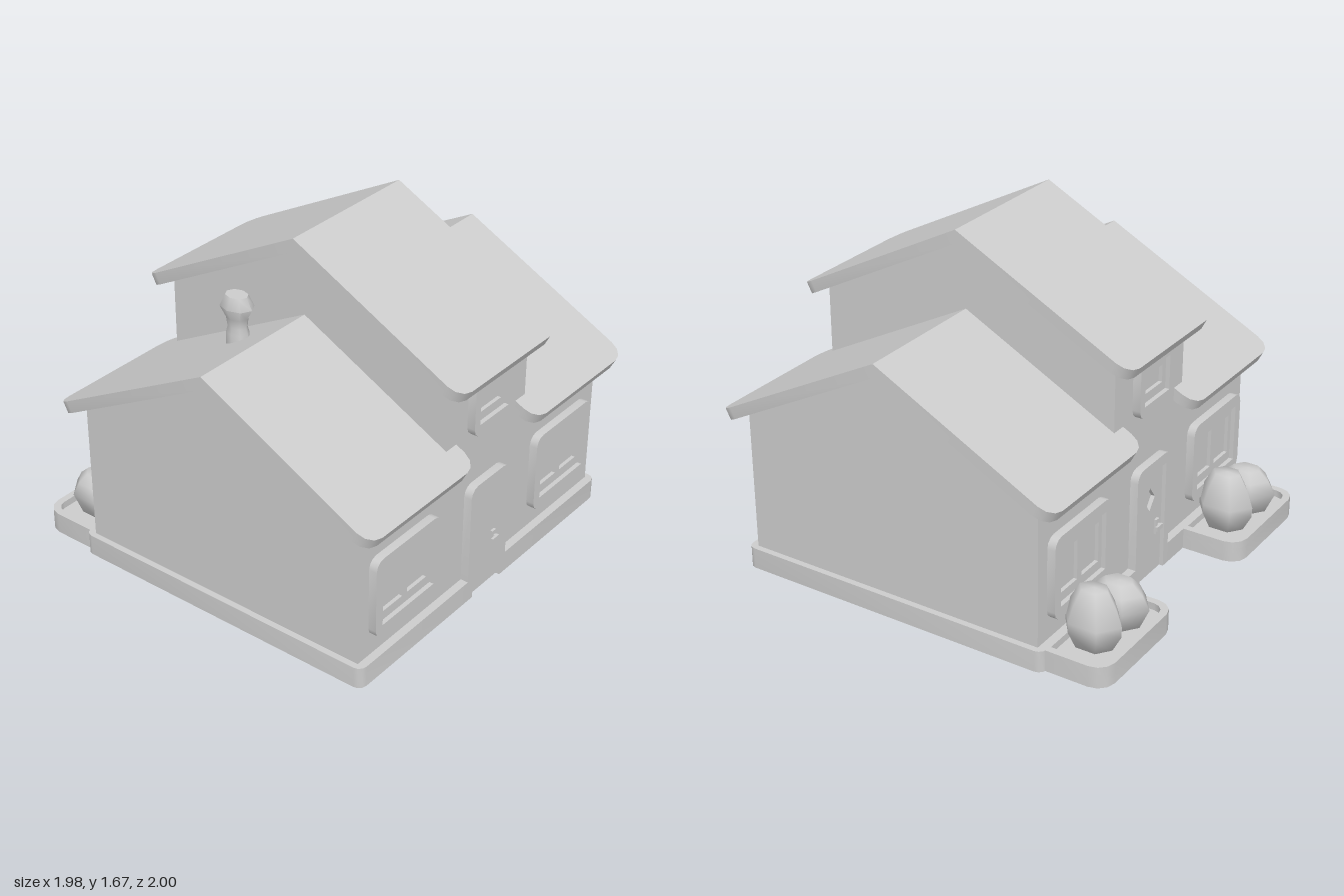
import * as THREE from 'three';
import { toCreasedNormals } from 'three/addons/utils/BufferGeometryUtils.js';

const grey = new THREE.MeshStandardMaterial({ color: 0xcccccc });
const MID = 0.11;      // z of the ridge; front and back are mirrored about it
const WALL = 0.775;    // half depth of the walls
const TRIM = 0.815;    // half depth to the face of base and frames
const SLOPE = 0.5225;  // rise over run of the roofs

function add(parent, name, geometry, x = 0, y = 0, z = 0) {
  const mesh = new THREE.Mesh(geometry, grey);
  mesh.name = name;
  mesh.position.set(x, y, z);
  parent.add(mesh);
  return mesh;
}

// Rectangle outline, anticlockwise from bottom left, with one radius per corner
function rect(x0, y0, x1, y1, radii = [0, 0, 0, 0]) {
  const corners = [[x0, y0, 1, 1], [x1, y0, -1, 1], [x1, y1, -1, -1], [x0, y1, 1, -1]];
  const points = [];
  corners.forEach(([x, y, sx, sy], i) => {
    const r = radii[i];
    if (!r) return points.push(new THREE.Vector2(x, y));
    for (let k = 0; k <= 3; k++) {
      const a = Math.PI * (1 + i / 2 + k / 6);
      points.push(new THREE.Vector2(x + sx * r + r * Math.cos(a), y + sy * r + r * Math.sin(a)));
    }
  });
  return points;
}

function slab(outline, depth, holes = []) {
  const shape = new THREE.Shape(outline);
  holes.forEach((h) => shape.holes.push(new THREE.Path(h)));
  const g = new THREE.ExtrudeGeometry(shape, { depth, bevelEnabled: false });
  return toCreasedNormals(g, 0.7);
}

// Slab lying flat: outline y becomes -z, depth becomes height
const flat = (...args) => slab(...args).rotateX(-Math.PI / 2);

// Walls with gable ends, extruded along x
function gableWalls(parent, name, halfWidth, apex) {
  const eave = apex - SLOPE * WALL;
  const outline = [[-WALL, 0], [WALL, 0], [WALL, eave], [0, apex], [-WALL, eave]]
    .map(([a, b]) => new THREE.Vector2(a, b));
  const g = slab(outline, halfWidth * 2).translate(0, 0, -halfWidth).rotateY(Math.PI / 2);
  add(parent, name, g);
}

// One sloping roof plate from the ridge down to a rounded eave
function roofPlate(parent, name, x, halfWidth, ridge) {
  const r = 0.08;
  const g = slab(rect(-halfWidth, 0, halfWidth, 1.004, [0, 0, r, r]), 0.0575);
  add(parent, name, g, x, ridge, 0).rotation.x = Math.PI / 2 + Math.atan(SLOPE);
}

// Rounded frame with a recessed sash and panes
function windowUnit(parent, name, x, y, frame, opening, panes) {
  const group = new THREE.Group();
  group.name = name;
  group.position.set(x, y, WALL - 0.01);
  parent.add(group);
  const box = ([w, h], r) => rect(-w, -h, w, h, [r, r, r, r]);
  add(group, 'windowFrame', slab(box(frame, 0.05), TRIM - WALL + 0.01, [box(opening, 0)]));
  const holes = panes.map(([x0, x1, h]) => rect(x0, -h, x1, h));
  add(group, 'windowSash', slab(box(opening, 0), 0.028, holes));
}

function doorUnit(parent, withDiamond) {
  const frame = rect(-0.15, 0, 0.15, 0.605, [0, 0, 0.05, 0.05]);
  // bottom left point first, so the opening is traced back from the right jamb
  const outline = [
    ...frame,
  ];
  const inner = [[-0.11, 0.55], [0.11, 0.55], [0.11, 0]].reverse();
  const start = outline.shift();
  const right = outline.shift();
  const path = [start, new THREE.Vector2(-0.11, 0),
    ...inner.reverse().map(([a, b]) => new THREE.Vector2(a, b)), right, ...outline];
  add(parent, 'doorFrame', slab(path, TRIM - WALL + 0.01), 0, 0, WALL - 0.01);

  const diamond = [[0, -0.06], [0.045, 0], [0, 0.06], [-0.045, 0]]
    .map(([a, b]) => new THREE.Vector2(a, b + 0.4));
  const holes = withDiamond ? [diamond] : [];
  add(parent, 'door', slab(rect(-0.11, 0, 0.11, 0.55), 0.03, holes), 0, 0, WALL - 0.01);
  add(parent, 'handlePlate', new THREE.BoxGeometry(0.027, 0.075, 0.014), 0.06, 0.237, 0.801);
  add(parent, 'handleStem', new THREE.BoxGeometry(0.018, 0.018, 0.03), 0.06, 0.243, 0.81);
  add(parent, 'handleLever', new THREE.BoxGeometry(0.05, 0.022, 0.012), 0.045, 0.243, 0.823);
}

function lathe(profile, sides) {
  return new THREE.LatheGeometry(profile.map(([r, y]) => new THREE.Vector2(r, y)), sides);
}

// Everything repeated on the front and, turned round, on the back
function facade(name, isBack) {
  const side = new THREE.Group();
  side.name = name;
  for (const s of [-1, 1]) {
    windowUnit(side, 'lowerWindow', s * 0.61, 0.405, [0.233, 0.203], [0.185, 0.145],
      [[-0.158, -0.018, 0.1], [0.018, 0.158, 0.1]]);
    roofPlate(side, 'lowerRoof', s * 0.61, 0.38, 1.275);
  }
  windowUnit(side, 'upperWindow', 0, 1.01, [0.15, 0.143], [0.11, 0.086], [[-0.08, 0.08, 0.043]]);
  roofPlate(side, 'upperRoof', 0, 0.38, 1.675);
  doorUnit(side, isBack);
  if (isBack) side.rotation.y = Math.PI;
  return side;
}

function planter(parent, x) {
  const group = new THREE.Group();
  group.name = 'planter';
  group.position.set(x, 0, 0);
  parent.add(group);
  const r = 0.085, q = 0.055;
  const outer = rect(-0.305, -1.11, 0.305, -0.78, [r, r, 0, 0]);
  const inner = rect(-0.27, -1.075, 0.27, -0.82, [q, q, 0, 0]);
  add(group, 'planterRim', flat(outer, 0.105, [inner]));
  add(group, 'planterSoil', flat(outer, 0.07));
  // egg-shaped bushes, narrower across than deep
  const tall = lathe([[0, 0.065], [0.095, 0.065], [0.14, 0.15], [0.142, 0.2], [0.115, 0.275],
    [0.07, 0.355], [0, 0.358]], 6);
  const low = lathe([[0, 0.065], [0.105, 0.065], [0.155, 0.175], [0.12, 0.235],
    [0.07, 0.28], [0, 0.283]], 6);
  add(group, 'tallBush', tall, -0.105, 0, 0.93).scale.x = 0.77;
  add(group, 'lowBush', low, 0.11, 0, 0.93).scale.x = 0.77;
}

export function createModel() {
  const house = new THREE.Group();
  house.name = 'house';
  const body = new THREE.Group();
  body.name = 'body';
  body.position.z = MID;
  house.add(body);

  gableWalls(body, 'lowerWalls', 0.915, 1.23);
  gableWalls(body, 'upperWalls', 0.305, 1.63);

  // Base in two halves, leaving room for the doors
  const c = 0.04;
  add(body, 'baseLeft', flat(rect(0.15, -TRIM, 0.945, TRIM, [0, c, c, 0]), 0.105));
  add(body, 'baseRight', flat(rect(-0.945, -TRIM, -0.15, TRIM, [c, 0, 0, c]), 0.105));

  const back = facade('backSide', true);
  body.add(facade('frontSide', false), back);
  planter(back, -0.61);
  planter(back, 0.61);

  // Chimney pot, deeper than wide
  const pot = lathe([[0.045, 1.08], [0.045, 1.2], [0.038, 1.23], [0.043, 1.275],
    [0.066, 1.33], [0.044, 1.385], [0, 1.385]], 8);
  add(house, 'chimney', toCreasedNormals(pot, 0.9), -0.5, 0, -0.11).scale.z = 1.3;
  return house;
}
